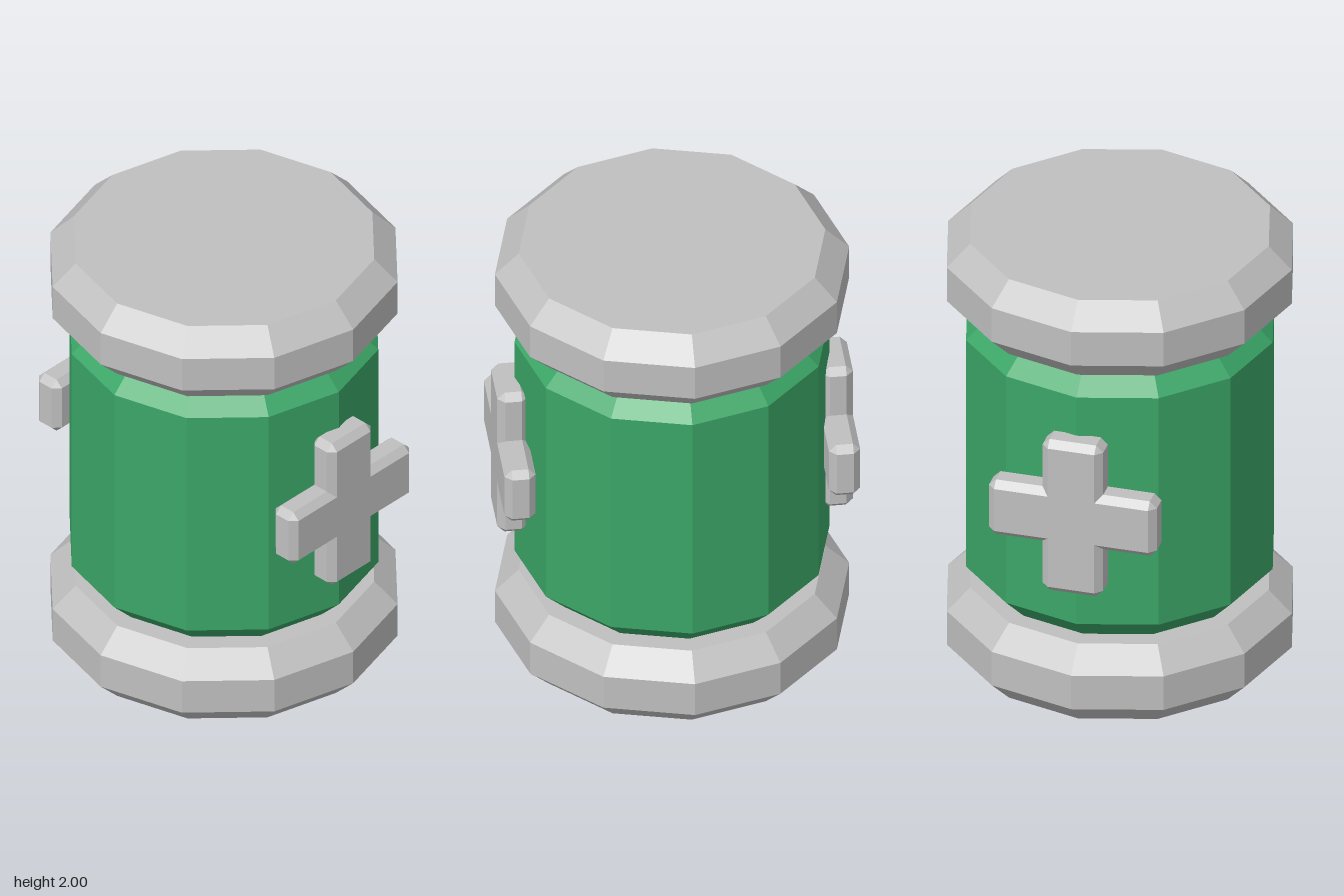
import * as THREE from 'three';

const grey = new THREE.MeshStandardMaterial({ name: 'pale grey', color: 0xbfc0bf, flatShading: true });
const green = new THREE.MeshStandardMaterial({ name: 'green', color: 0x3ba667, flatShading: true });

// Twelve-sided turned solid with a corner on the +z axis
function turned(name, profile, material) {
  const points = profile.map(([r, y]) => new THREE.Vector2(r, y));
  const geometry = new THREE.LatheGeometry(points, 12).toNonIndexed();
  geometry.computeVertexNormals();
  const mesh = new THREE.Mesh(geometry, material);
  mesh.name = name;
  return mesh;
}

// Closed end cap, chamfered on both rims
function endCap(name, y) {
  const r = 0.737, c = 0.099, h = 0.358;
  return turned(name, [[0, y], [r - c, y], [r, y + c], [r, y + h - c], [r - c, y + h], [0, y + h]], grey);
}

// Plus-shaped plate with every outer edge and corner chamfered
function crossGeometry() {
  const a = 0.36, w = 0.13, b = 0.03;
  const face = [], rim = [];
  for (let i = 0; i < 4; i++) {
    const turn = ([x, y]) => {
      for (let k = 0; k < i; k++) [x, y] = [-y, x];
      return [x, y];
    };
    // one arm end, then the inner corner that follows it
    face.push(...[[a - b, b - w], [a - b, b - w], [a - b, w - b], [a - b, w - b], [w - b, w - b]].map(turn));
    rim.push(...[[a - b, -w], [a, b - w], [a, w - b], [a - b, w], [w, w]].map(turn));
  }
  const centre = face.map(() => [0, 0]);
  const layers = [[centre, 0.61], [face, 0.61], [rim, 0.64], [rim, 0.71], [face, 0.74], [centre, 0.74]];
  const positions = [];
  const triangle = (p, q, r) => {
    const [A, B, C] = [p, q, r].map((v) => new THREE.Vector3(...v));
    if (new THREE.Triangle(A, B, C).getArea() > 1e-8) positions.push(...p, ...q, ...r);
  };
  for (let l = 0; l < layers.length - 1; l++) {
    const [low, z0] = layers[l], [high, z1] = layers[l + 1];
    for (let i = 0; i < low.length; i++) {
      const j = (i + 1) % low.length;
      const p = [...low[i], z0], q = [...low[j], z0], r = [...high[j], z1], s = [...high[i], z1];
      triangle(p, q, r);
      triangle(p, r, s);
    }
  }
  const geometry = new THREE.BufferGeometry();
  geometry.setAttribute('position', new THREE.Float32BufferAttribute(positions, 3));
  geometry.computeVertexNormals();
  return geometry;
}

export function createModel() {
  const group = new THREE.Group();
  group.name = 'canister';

  // Body between two end caps
  group.add(turned('body', [[0, 0.358], [0.555, 0.358], [0.655, 0.46], [0.655, 1.542], [0.555, 1.642], [0, 1.642]], green));
  group.add(endCap('bottomCap', 0), endCap('topCap', 1.642));

  // Crosses on the front and back
  const geometry = crossGeometry();
  for (const [name, angle] of [['frontCross', 0], ['backCross', Math.PI]]) {
    const cross = new THREE.Mesh(geometry, grey);
    cross.name = name;
    cross.position.y = 1;
    cross.rotation.y = angle;
    group.add(cross);
  }
  return group;
}
